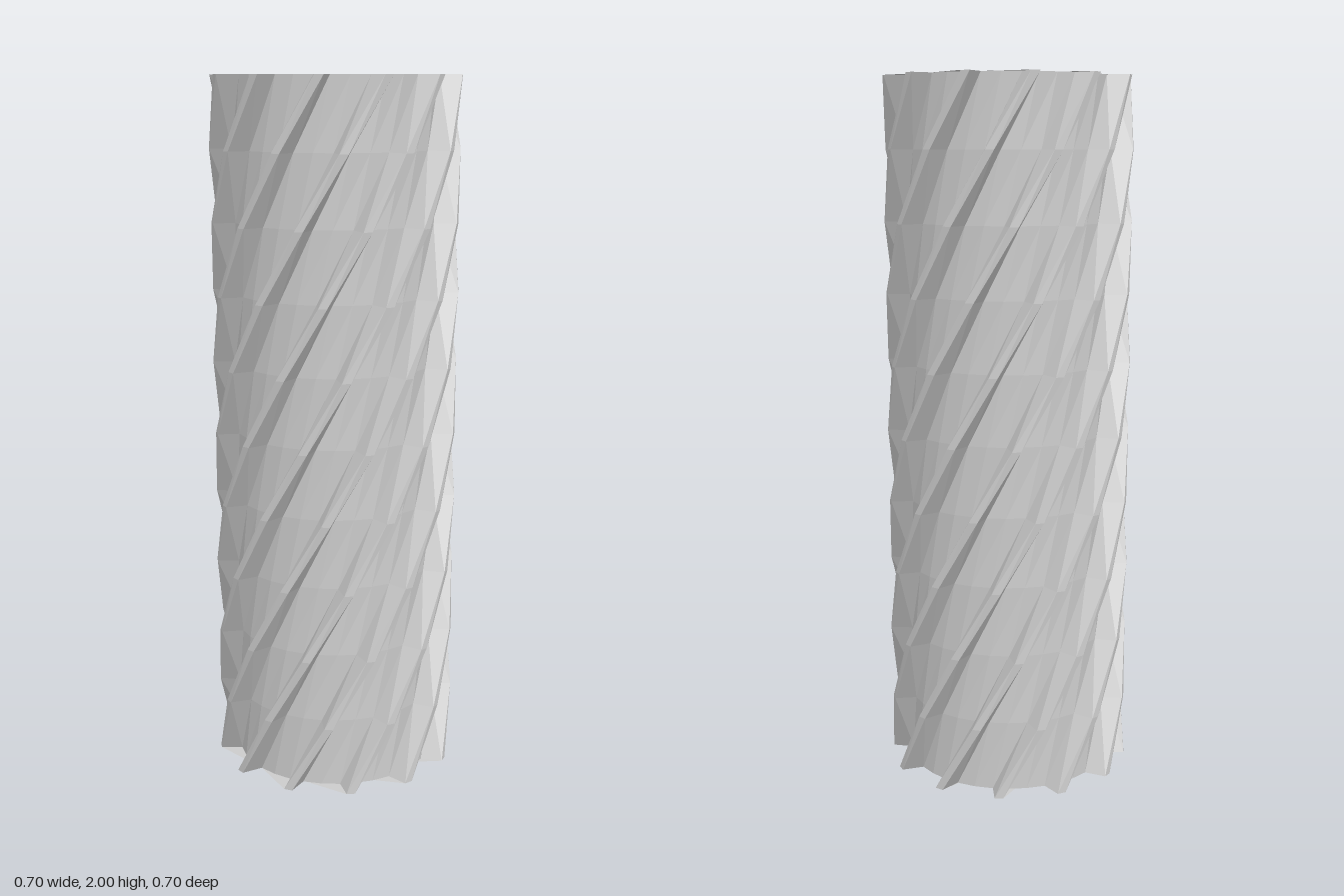
import * as THREE from 'three';

const RIDGES = 12;
const LAYERS = 10;
const HEIGHT = 2;
const TWIST_PER_LAYER = 19.6; // degrees
const ROOT = 0.29;
const TIP = 0.352;

// One groove and one ridge as [angle in degrees, radius], repeated around the axis
const TOOTH = [[7, ROOT], [17.7, ROOT], [28.5, ROOT], [31, TIP], [35, TIP]];

function createSection() {
  const section = [];
  for (let k = 0; k < RIDGES; k++) {
    for (const [angle, radius] of TOOTH) section.push([angle + k * 360 / RIDGES, radius]);
  }
  return section;
}

function createMesh(name, positions, index) {
  const geometry = new THREE.BufferGeometry();
  geometry.setAttribute('position', new THREE.Float32BufferAttribute(positions, 3));
  geometry.setIndex(index);
  const flat = geometry.toNonIndexed();
  flat.computeVertexNormals();
  const material = new THREE.MeshStandardMaterial({ color: 0xcccccc, flatShading: true });
  const mesh = new THREE.Mesh(flat, material);
  mesh.name = name;
  return mesh;
}

// Points of the section at one level, turned by the twist
function ring(section, level) {
  const points = [];
  for (const [angle, radius] of section) {
    const a = THREE.MathUtils.degToRad(angle + (level - LAYERS) * TWIST_PER_LAYER);
    points.push(radius * Math.cos(a), HEIGHT * level / LAYERS, -radius * Math.sin(a));
  }
  return points;
}

// Helical ridges and grooves, stacked in straight layers
function createShaft(section) {
  const n = section.length;
  const positions = [];
  const index = [];
  for (let level = 0; level <= LAYERS; level++) positions.push(...ring(section, level));
  for (let level = 0; level < LAYERS; level++) {
    for (let i = 0; i < n; i++) {
      const a = level * n + i;
      const b = level * n + (i + 1) % n;
      index.push(a, b, a + n, b, b + n, a + n);
    }
  }
  return createMesh('twistedShaft', positions, index);
}

// Flat end, fanned from the first groove corner
function createEnd(name, section, level, facesUp) {
  const index = [];
  for (let i = 1; i < section.length - 1; i++) {
    if (facesUp) index.push(0, i, i + 1);
    else index.push(0, i + 1, i);
  }
  return createMesh(name, ring(section, level), index);
}

export function createModel() {
  const group = new THREE.Group();
  group.name = 'twistedColumn';
  const section = createSection();
  group.add(
    createShaft(section),
    createEnd('topEnd', section, LAYERS, true),
    createEnd('bottomEnd', section, 0, false)
  );
  return group;
}
